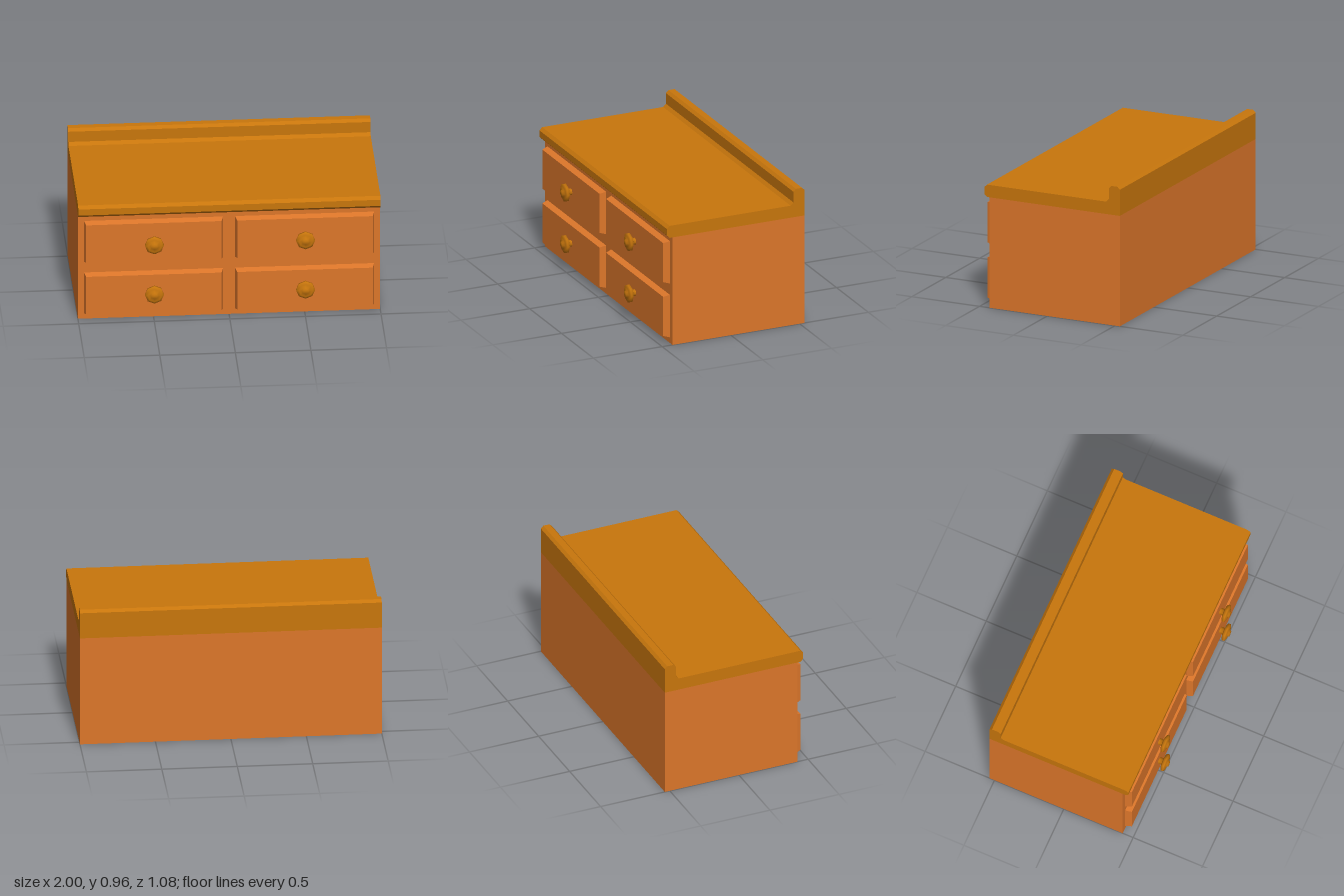
import * as THREE from 'three';

const BODY = new THREE.MeshStandardMaterial({ color: 0xdc762a, flatShading: true });
const TOP = new THREE.MeshStandardMaterial({ color: 0xc8760c, flatShading: true });
const KNOB = new THREE.MeshStandardMaterial({ color: 0xc8760c });

function addMesh(parent, name, geometry, material) {
  const mesh = new THREE.Mesh(geometry, material);
  mesh.name = name;
  parent.add(mesh);
  return mesh;
}

// Box whose front face is drawn in on every side
function drawerFrontGeometry(width, height, depth, inset) {
  const geo = new THREE.BoxGeometry(width, height, depth);
  const pos = geo.attributes.position;
  for (let i = 0; i < pos.count; i++) {
    if (pos.getZ(i) > 0) {
      pos.setX(i, pos.getX(i) - Math.sign(pos.getX(i)) * inset);
      pos.setY(i, pos.getY(i) - Math.sign(pos.getY(i)) * inset);
    }
  }
  geo.translate(0, 0, depth / 2);
  geo.computeVertexNormals();
  return geo;
}

export function createModel() {
  const model = new THREE.Group();
  model.name = 'drawerChest';

  // Cabinet body
  const frontZ = 0.425, backZ = -0.536, bodyHeight = 0.76;
  const body = addMesh(model, 'cabinetBody', new THREE.BoxGeometry(2, bodyHeight, frontZ - backZ), BODY);
  body.position.set(0, bodyHeight / 2, (frontZ + backZ) / 2);

  // Worktop and backsplash: one bevelled side profile (z, y) swept along x
  const profile = [
    [backZ, 0.76], [0.445, 0.76], [0.465, 0.78], [0.465, 0.825], [0.445, 0.845],
    [-0.435, 0.845], [-0.455, 0.865], [-0.455, 0.94], [-0.473, 0.958],
    [-0.518, 0.958], [backZ, 0.94],
  ].map(([z, y]) => new THREE.Vector2(z, y));
  const topGeo = new THREE.ExtrudeGeometry(new THREE.Shape(profile), { depth: 2, bevelEnabled: false });
  topGeo.rotateY(-Math.PI / 2).translate(1, 0, 0);
  addMesh(model, 'worktopWithBacksplash', topGeo, TOP);

  // Eight-sided knob: stem, rounded disc and raised centre (radius, distance)
  const knobGeo = new THREE.LatheGeometry([
    [0.024, 0], [0.024, 0.028], [0.045, 0.028], [0.063, 0.036], [0.063, 0.05],
    [0.045, 0.058], [0.026, 0.058], [0.02, 0.07], [0, 0.071],
  ].map(([r, d]) => new THREE.Vector2(r, d)), 8);
  knobGeo.rotateX(Math.PI / 2);

  // Four drawers in two rows and two columns
  const drawerDepth = 0.043;
  const drawerGeo = drawerFrontGeometry(0.92, 0.3, drawerDepth, 0.012);
  for (const [row, y] of [['lower', 0.19], ['upper', 0.57]]) {
    for (const [side, x] of [['Left', 0.5], ['Right', -0.5]]) {
      const drawer = new THREE.Group();
      drawer.name = `${row}${side}Drawer`;
      drawer.position.set(x, y, frontZ);
      addMesh(drawer, 'drawerFront', drawerGeo, BODY);
      const knob = addMesh(drawer, 'drawerKnob', knobGeo, KNOB);
      knob.position.set(0, (row === 'lower' ? 0.203 : 0.567) - y, drawerDepth);
      model.add(drawer);
    }
  }
  return model;
}
